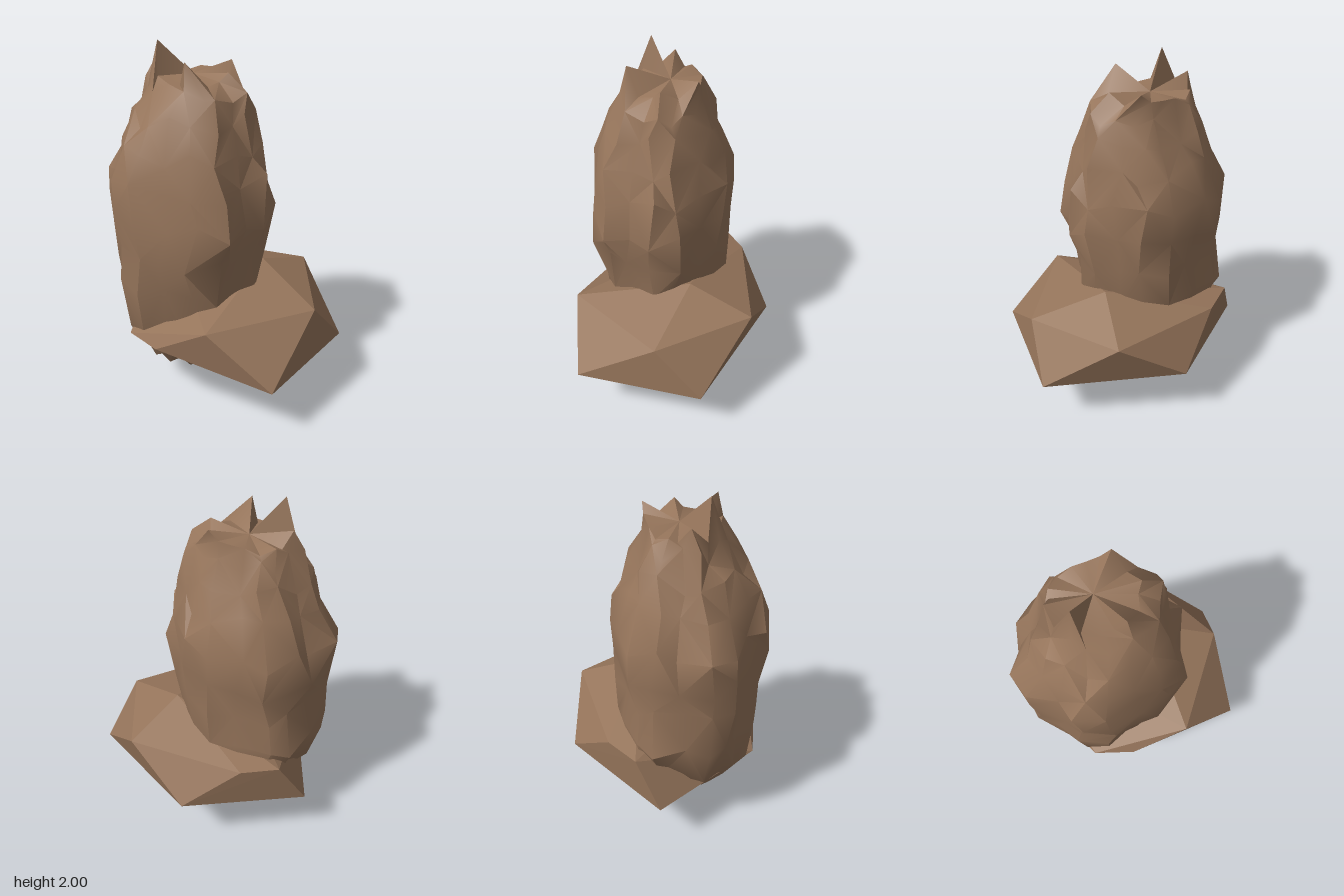
import * as THREE from 'three';
import { toCreasedNormals } from 'three/addons/utils/BufferGeometryUtils.js';
import { ConvexGeometry } from 'three/addons/geometries/ConvexGeometry.js';

// Small seeded generator for the chipped surface
function seeded(seed) {
  return () => {
    seed = (seed * 1664525 + 1013904223) % 4294967296;
    return seed / 4294967296;
  };
}

// Outline of the tall rock by height: y, xMin, xMax, zMin, zMax
const ROWS = [
  [0.00, -0.21, -0.19, 0.01, 0.03],
  [0.12, -0.28, 0.00, -0.06, 0.28],
  [0.25, -0.39, 0.10, -0.15, 0.41],
  [0.42, -0.54, 0.22, -0.24, 0.49],
  [0.66, -0.63, 0.29, -0.30, 0.53],
  [0.88, -0.60, 0.31, -0.30, 0.55],
  [1.09, -0.63, 0.36, -0.31, 0.56],
  [1.29, -0.63, 0.33, -0.32, 0.54],
  [1.46, -0.53, 0.28, -0.26, 0.50],
  [1.61, -0.48, 0.24, -0.21, 0.42],
  [1.75, -0.42, 0.21, -0.15, 0.33],
  [1.85, -0.38, 0.09, -0.12, 0.27],
];
const SIDES = 18;
// Peaks of the crown: x, z, height
const PEAKS = [[-0.26, 0.2, 2.0], [-0.02, 0.26, 1.92], [-0.02, -0.12, 1.88], [-0.37, 0.1, 1.89]];

function tallRockGeometry() {
  const random = seeded(41);
  // Vertical ridges and clefts, kept along the whole height
  const ridge = Array.from({ length: SIDES }, (_, i) => (i % 3 === 1 ? -0.07 : 0) - random() * 0.04);
  const rings = ROWS.map(([y, x0, x1, z0, z1], row) =>
    Array.from({ length: SIDES }, (_, i) => {
      const a = ((i + (random() - 0.5) * 0.5) / SIDES) * Math.PI * 2;
      const s = Math.sin(a), c = Math.cos(a);
      const r = 1.04 + ridge[i] - random() * 0.1;
      const lift = row === 0 ? 0 : (random() - 0.5) * 0.11;
      return new THREE.Vector3(
        THREE.MathUtils.clamp((x0 + x1) / 2 + ((x1 - x0) / 2) * s * r, x0, x1),
        y + lift,
        THREE.MathUtils.clamp((z0 + z1) / 2 + ((z1 - z0) / 2) * c * r, z0, z1));
    }));

  // Pull the nearest crown vertices up into the peaks
  const crown = rings[rings.length - 1];
  crown.forEach((p) => { p.y = 1.79 + random() * 0.06; });
  for (const [x, z, y] of PEAKS) {
    const d = (p) => Math.hypot(p.x - x, p.z - z);
    crown.reduce((best, p) => (d(p) < d(best) ? p : best)).set(x, y, z);
  }

  const positions = [];
  const tri = (...pts) => pts.forEach((p) => positions.push(p.x, p.y, p.z));
  for (let r = 0; r < rings.length - 1; r++) {
    for (let i = 0; i < SIDES; i++) {
      const j = (i + 1) % SIDES;
      const a = rings[r][i], b = rings[r][j], c = rings[r + 1][j], d = rings[r + 1][i];
      if ((i + r) % 2) { tri(a, b, c); tri(a, c, d); } else { tri(a, b, d); tri(b, c, d); }
    }
  }
  // Close the hollow between the peaks and the tip underneath
  const top = new THREE.Vector3(-0.14, 1.82, 0.06), tip = new THREE.Vector3(-0.2, 0, 0.02);
  for (let i = 0; i < SIDES; i++) {
    const j = (i + 1) % SIDES;
    tri(crown[i], crown[j], top);
    tri(rings[0][j], rings[0][i], tip);
  }
  const geometry = new THREE.BufferGeometry();
  geometry.setAttribute('position', new THREE.Float32BufferAttribute(positions, 3));
  return toCreasedNormals(geometry, 0.6);
}

// Corners of the broad slab around the foot
const SLAB = [
  [-0.66, 0.33, -0.06], [-0.14, 0.36, -0.56], [0.64, 0.31, -0.33], [0.66, 0.31, 0.39],
  [-0.02, 0.38, 0.55], [-0.26, 0.37, 0.51],
  [0.31, 0.59, 0.51], [0.62, 0.59, -0.06], [0.25, 0.62, -0.52], [-0.39, 0.6, -0.34],
  [-0.55, 0.6, -0.19], [0.2, 0.74, -0.15],
  [0.13, 0.13, 0.08], [-0.38, 0.25, 0.05],
];

export function createModel() {
  const group = new THREE.Group();
  group.name = 'rockFormation';
  const stone = new THREE.MeshStandardMaterial({ color: 0x96755b });
  stone.name = 'brown stone';

  const tallRock = new THREE.Mesh(tallRockGeometry(), stone);
  tallRock.name = 'tallRock';

  const slab = new THREE.Mesh(new ConvexGeometry(SLAB.map((p) => new THREE.Vector3(...p))), stone);
  slab.name = 'baseSlab';

  group.add(tallRock, slab);
  return group;
}
